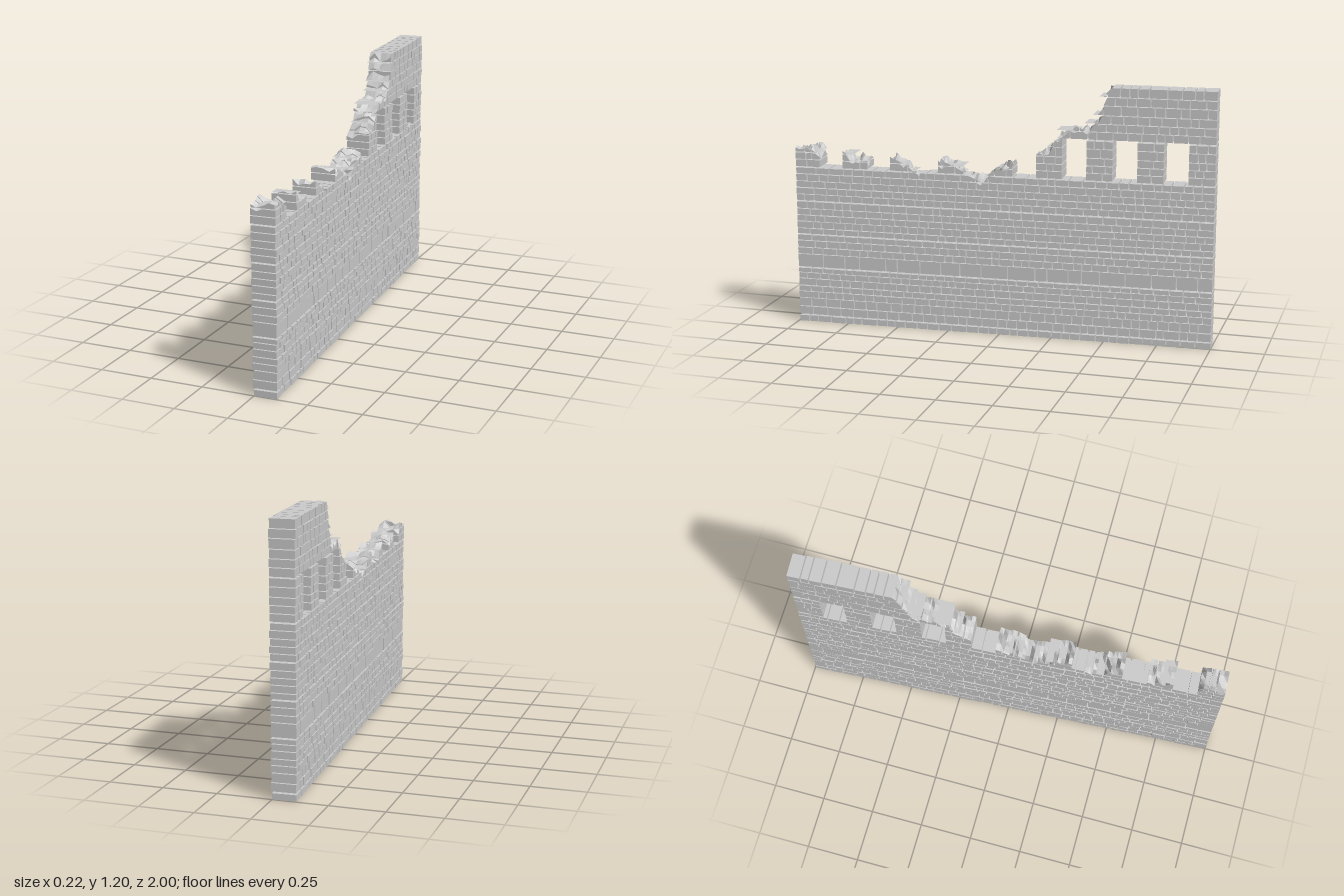
import * as THREE from 'three';
import { mergeGeometries } from 'three/addons/utils/BufferGeometryUtils.js';

const HALF = 0.998;      // half the wall length, along z
const THICK = 0.108;
const JOINT = 0.006;
const PIER = 0.12, SPACING = 0.2345;

// Course heights: solid wall, window piers, masonry over the windows
const BASE = [0, .036, .077, .12, .153, .182, .217, .247, .275, .34, .373, .407, .44,
  .468, .502, .533, .565, .604, .636, .668, .7, .735, .77];
const PIERS = [.77, .806, .84, .875, .918, .96];
const UPPER = [.96, .998, 1.035, 1.075, 1.12, 1.16, 1.2];
const WIDE_JOINTS = [.036, .275, .44, .604, .77, .96];

// Skyline of the collapsed part as [z, height]
const SKYLINE = [[1.1, .83], [.9, .85], [.88, .825], [.76, .83], [.66, .8], [.52, .83], [.46, .8],
  [.42, .745], [.37, .775], [.29, .82], [.19, .79], [.15, .765], [.08, .735], [.02, .785],
  [-.05, .825], [-.17, .86], [-.24, .9], [-.28, .965], [-.33, .995], [-.42, .99], [-.46, 1.03],
  [-.485, 1.11], [-.52, 1.23], [-.56, 1.3], [-1.1, 1.3]];

let seed = 7;
function random() {
  seed = (seed * 16807) % 2147483647;
  return seed / 2147483647;
}

// Repeatable value from -1 to 1 for a place on the wall
function hash(a, b) {
  const s = Math.sin(a * 127.1 + b * 311.7) * 43758.5453;
  return (s - Math.floor(s)) * 2 - 1;
}

// Jagged height of the ruin at (x, z)
function ruinHeight(x, z) {
  let i = 0;
  while (i < SKYLINE.length - 2 && z < SKYLINE[i + 1][0]) i++;
  const [z0, h0] = SKYLINE[i], [z1, h1] = SKYLINE[i + 1];
  const h = h0 + (h1 - h0) * (z - z0) / (z1 - z0);
  return h + 0.026 * hash(Math.round(x / 0.027), Math.round(z / 0.021));
}

// One stone running through the wall; its top is broken off at the ruin height
function stone(y0, y1, z0, z1, thick) {
  const midY = (y0 + y1) / 2, midZ = (z0 + z1) / 2;
  let lowest = Infinity;
  for (let z = z0 - 0.02; z <= z1 + 0.02; z += 0.008)
    for (let x = -0.06; x <= 0.06; x += 0.012) lowest = Math.min(lowest, ruinHeight(x, z));
  const broken = lowest < y1;
  const segments = broken ? Math.max(2, Math.round((z1 - z0) / 0.018)) : 1;
  const geo = new THREE.BoxGeometry(thick, y1 - y0, z1 - z0, broken ? 4 : 1, 1, segments);
  geo.translate((random() - 0.5) * 0.003, midY, midZ);
  if (!broken) return geo;

  const p = geo.attributes.position;
  let top = y0;
  for (let i = 0; i < p.count; i++) {
    const x = p.getX(i), z = p.getZ(i);
    if (p.getY(i) > midY) {
      const y = Math.max(y0, Math.min(y1, ruinHeight(x, z)));
      p.setY(i, y);
      top = Math.max(top, y);
    }
  }
  if (top < y0 + 0.008) return null;
  geo.computeVertexNormals();
  return geo;
}

// Fill one course between two ends with stones of uneven length
function fillCourse(list, y0, y1, from, to, length) {
  const thick = THICK + random() * 0.006;
  const top = y1 - (WIDE_JOINTS.includes(y1) ? 0.008 : y1 === 1.2 ? 0 : 0.004);
  let z = from;
  while (z < to - 0.001) {
    let next = z + length * (0.6 + random() * 0.8);
    if (to - next < length * 0.5) next = to;
    const geo = stone(y0, top, z, next === to ? to : next - JOINT, thick + (random() - 0.5) * 0.003);
    if (geo) list.push(geo);
    z = next;
  }
}

export function createModel() {
  const model = new THREE.Group();
  model.name = 'ruinedWall';
  const material = new THREE.MeshStandardMaterial({ color: 0xcccccc, flatShading: true });

  // Build a stack of courses, each over one or more stretches of the wall
  function addSection(name, levels, stretches, length) {
    const section = new THREE.Group();
    section.name = name;
    for (let i = 0; i < levels.length - 1; i++) {
      const list = [];
      const size = levels[i + 1] - levels[i] > 0.06 ? 0.095 : length;
      for (const [a, b] of stretches) fillCourse(list, levels[i], levels[i + 1], a, b, size);
      if (!list.length) continue;
      const mesh = new THREE.Mesh(mergeGeometries(list), material);
      mesh.name = `${name}Course${i + 1}`;
      section.add(mesh);
    }
    model.add(section);
  }

  // Piers between the window openings
  const piers = [];
  for (let i = 0; i < 9; i++) {
    const a = -HALF + i * SPACING;
    piers.push([a, Math.min(a + PIER, HALF)]);
  }

  addSection('solidWall', BASE, [[-HALF, HALF]], 0.056);
  addSection('windowPiers', PIERS, piers, 0.05);
  addSection('upperWall', UPPER, [[-HALF, -0.27]], 0.06);

  // The wall stands slightly askew
  model.children.forEach((part) => { part.rotation.y = 0.0525; });
  return model;
}
